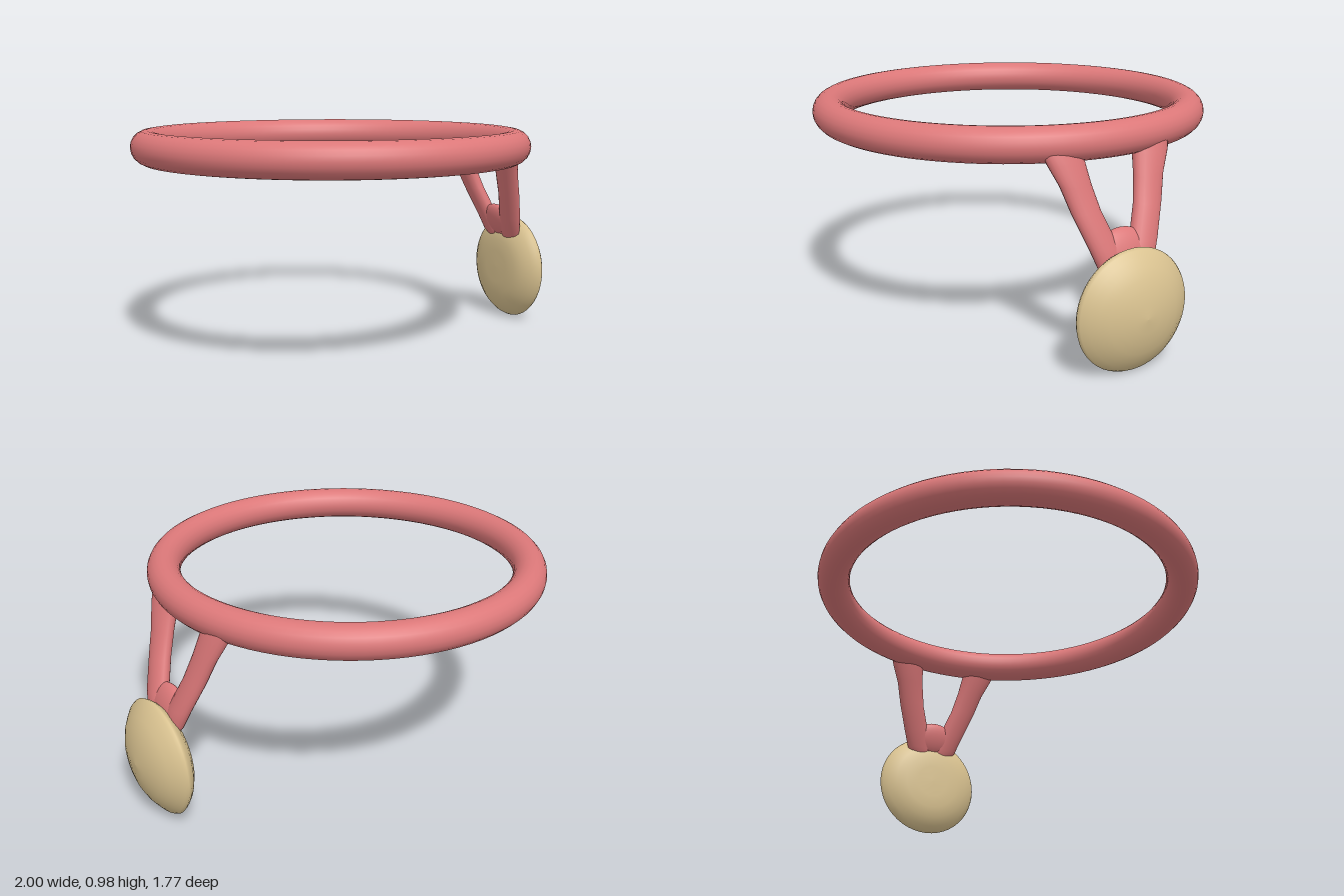
import * as THREE from 'three';

const pink = new THREE.MeshStandardMaterial({ color: 0xdc7879 });
pink.name = 'rose pink';
const tan = new THREE.MeshStandardMaterial({ color: 0xd9c290 });
tan.name = 'pale gold';

function add(group, name, geometry, material) {
  const mesh = new THREE.Mesh(geometry, material);
  mesh.name = name;
  group.add(mesh);
  return mesh;
}

// Skin a row of horizontal ellipses, listed from top to bottom: [x, y, z, halfX, halfZ]
function loft(sections, sides = 20) {
  const positions = [], index = [];
  sections.forEach(([x, y, z, hx, hz], i) => {
    for (let j = 0; j < sides; j++) {
      const a = (j / sides) * Math.PI * 2;
      positions.push(x + Math.cos(a) * hx, y, z + Math.sin(a) * hz);
      if (i === sections.length - 1) continue;
      const p = i * sides + j, q = i * sides + ((j + 1) % sides);
      index.push(p, q, p + sides, q, q + sides, p + sides);
    }
  });
  const g = new THREE.BufferGeometry();
  g.setAttribute('position', new THREE.Float32BufferAttribute(positions, 3));
  g.setIndex(index);
  g.computeVertexNormals();
  return g;
}

export function createModel() {
  const model = new THREE.Group();
  model.name = 'collarWithTag';

  // Horizontal ring
  const ring = new THREE.TorusGeometry(0.81, 0.073, 20, 96);
  ring.rotateX(Math.PI / 2);
  add(model, 'ring', ring, pink).position.set(-0.117, 0.908, 0);

  // Two straps converging on the disc
  for (const side of [1, -1]) {
    const strap = loft([
      [0.675, 0.91, 0.21, 0.04, 0.095],
      [0.7, 0.84, 0.198, 0.045, 0.082],
      [0.73, 0.755, 0.172, 0.041, 0.068],
      [0.767, 0.65, 0.144, 0.04, 0.064],
      [0.815, 0.52, 0.095, 0.04, 0.064],
      [0.838, 0.44, 0.07, 0.034, 0.06],
      [0.848, 0.4, 0.05, 0.02, 0.04],
    ].map(([x, y, z, hx, hz]) => [x, y, z * side, hx, hz]));
    add(model, side > 0 ? 'leftStrap' : 'rightStrap', strap, pink);
  }

  // Web joining the straps just above the disc
  const web = add(model, 'strapWeb', new THREE.SphereGeometry(1, 24, 16), pink);
  web.scale.set(0.036, 0.088, 0.12);
  web.rotation.z = 0.35;
  web.position.set(0.822, 0.495, 0);

  // Domed disc, turned about the x axis
  const profile = [
    [0, 0.805], [0.08, 0.806], [0.14, 0.81], [0.19, 0.824], [0.23, 0.85],
    [0.25, 0.872], [0.258, 0.887], [0.25, 0.901], [0.225, 0.922],
    [0.195, 0.944], [0.155, 0.965], [0.11, 0.979], [0.06, 0.991], [0, 0.996],
  ].map(([r, x]) => new THREE.Vector2(r, x));
  const disc = new THREE.LatheGeometry(profile, 48);
  disc.rotateZ(-Math.PI / 2);
  add(model, 'disc', disc, tan).position.y = 0.262;

  return model;
}
